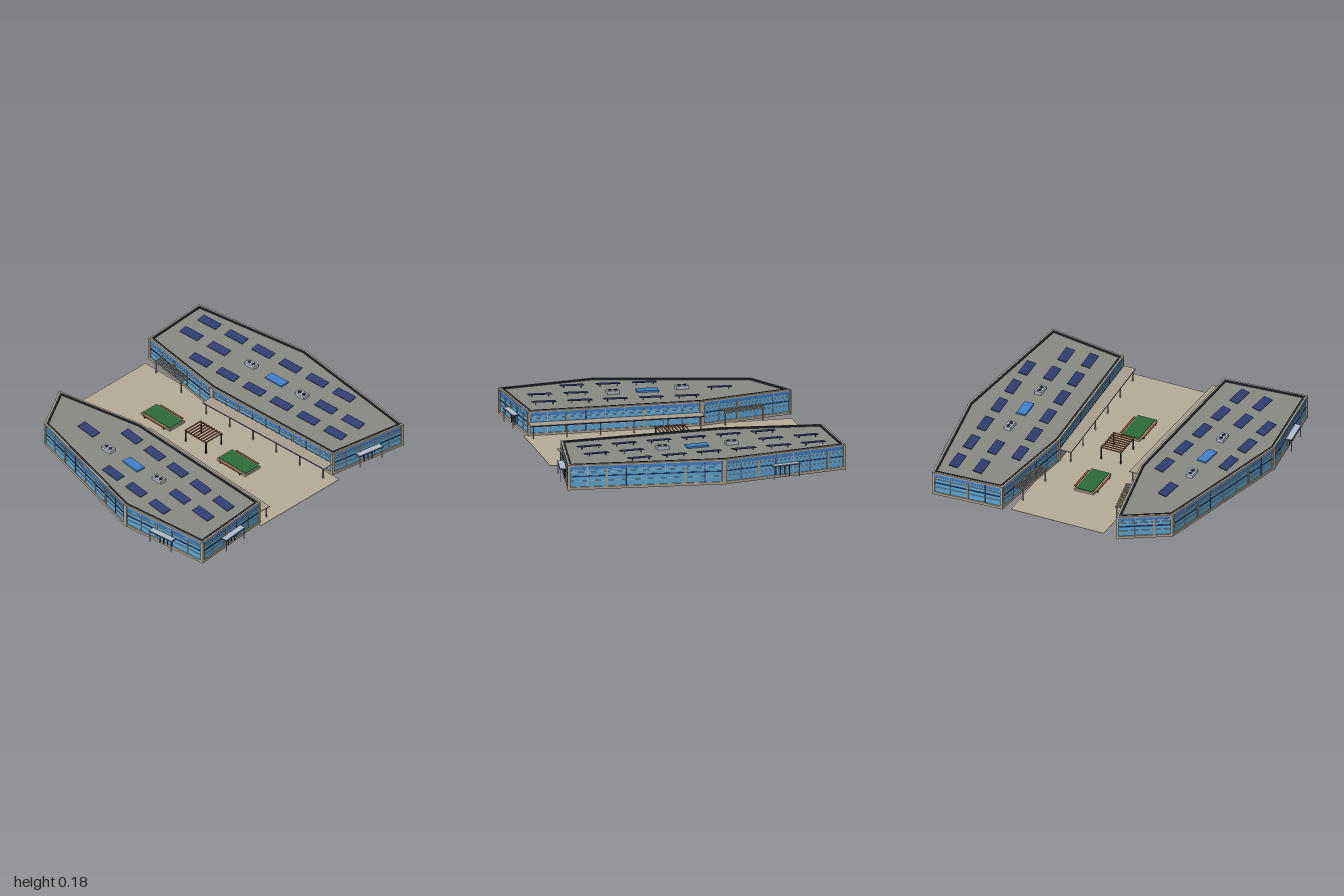
import * as THREE from 'three';

const mat = (name, color) => Object.assign(new THREE.MeshStandardMaterial({ color }), { name });
const M = {
  stone: mat('concrete', 0xa89e8c), paving: mat('paving', 0xb3a996), roof: mat('roof grey', 0x878882),
  glass: mat('glass', 0x5fa6d2), band: mat('blue glazing', 0x4180c8), navy: mat('solar navy', 0x2f3d70),
  dark: mat('dark trim', 0x262a33), metal: mat('light metal', 0xb0b9c8), green: mat('planting', 0x2c6a38),
  wood: mat('timber', 0x96522f),
};

// Corners run so that each wall's outside is its local +z
const BACK = [[-0.89, -0.385], [-0.24, -0.295], [0.8, -0.34], [0.89, -0.88], [-0.1, -0.995], [-0.92, -0.86]];
const FRONT = [[-0.89, 0.41], [-0.71, 0.72], [0.26, 0.968], [0.888, 0.902], [0.838, 0.34], [-0.28, 0.29]];

function add(parent, name, geometry, material) {
  const mesh = new THREE.Mesh(geometry, material);
  mesh.name = name;
  parent.add(mesh);
  return mesh;
}
// Box given by size, x and z of its centre, and its base height
function box(parent, name, material, w, h, d, x, y, z) {
  const mesh = add(parent, name, new THREE.BoxGeometry(w, h, d), material);
  mesh.position.set(x, y + h / 2, z);
  return mesh;
}
function group(parent, name, x = 0, y = 0, z = 0, turn = 0) {
  const g = new THREE.Group();
  g.name = name;
  g.position.set(x, y, z);
  g.rotation.y = turn;
  parent.add(g);
  return g;
}
// Move every side of a footprint inwards by d
function inset(points, d) {
  const n = points.length;
  const normal = i => {
    const [a, b] = [points[i % n], points[(i + 1) % n]];
    return new THREE.Vector2(b[1] - a[1], a[0] - b[0]).normalize();
  };
  return points.map((p, i) => {
    const n1 = normal(i + n - 1), n2 = normal(i);
    const k = d / (1 + n1.dot(n2));
    return [p[0] + (n1.x + n2.x) * k, p[1] + (n1.y + n2.y) * k];
  });
}
// Upright prism over a footprint, with an optional hole
function prism(points, y, h, hole) {
  const vec = list => list.map(p => new THREE.Vector2(p[0], -p[1]));
  const shape = new THREE.Shape(vec(points));
  if (hole) shape.holes.push(new THREE.Path(vec(hole)));
  return new THREE.ExtrudeGeometry(shape, { depth: h, bevelEnabled: false }).rotateX(-Math.PI / 2).translate(0, y, 0);
}

// Glazed wall: ledges, posts and mullions in the wall's own frame
function dressWall(wall, length) {
  box(wall, 'glazingBand', M.band, length, 0.024, 0.004, length / 2, 0.13, -0.006);
  box(wall, 'floorLine', M.navy, length, 0.006, 0.006, length / 2, 0.083, -0.005);
  for (const y of [0.055, 0.112, 0.128]) box(wall, 'transom', M.metal, length, 0.002, 0.005, length / 2, y, -0.005);
  const count = Math.max(2, Math.round(length / 0.12));
  for (let i = 1; i < count; i++) {
    const x = length * i / count;
    if (i % 4 === 2) box(wall, 'wallPost', M.stone, 0.012, 0.115, 0.006, x, 0.018, -0.004);
    else box(wall, 'mullion', i % 4 === 3 ? M.navy : M.metal, 0.004, 0.135, 0.005, x, 0.018, -0.005);
  }
}

// Small glass porch with double doors
function entrance(wall, x) {
  box(wall, 'porchRim', M.navy, 0.185, 0.005, 0.042, x, 0.082, 0.016);
  box(wall, 'porchRoof', M.metal, 0.181, 0.003, 0.038, x, 0.087, 0.016);
  for (const s of [-1, 0, 1]) box(wall, 'doorFrame', M.dark, 0.004, 0.08, 0.007, x + s * 0.03, 0.003, 0);
  box(wall, 'doorHead', M.dark, 0.064, 0.004, 0.007, x, 0.078, 0);
  for (const s of [-1, 1]) box(wall, 'porchPost', M.metal, 0.004, 0.083, 0.004, x + s * 0.085, 0, 0.032);
}

// Covered walk along a whole wall
function coveredWalk(wall, length) {
  box(wall, 'walkRoof', M.stone, length, 0.006, 0.08, length / 2, 0.084, 0.04);
  box(wall, 'walkEdge', M.navy, length, 0.007, 0.002, length / 2, 0.083, 0.08);
  for (let i = 0; i < 6; i++)
    box(wall, 'walkPost', M.stone, 0.007, 0.084, 0.007, 0.02 + (length - 0.04) * i / 5, 0, 0.068);
}

// Slatted canopy
function trellis(wall, x) {
  for (const z of [0.006, 0.054]) box(wall, 'trellisRail', M.stone, 0.28, 0.007, 0.006, x, 0.085, z);
  for (let i = 0; i < 15; i++) box(wall, 'trellisSlat', M.stone, 0.007, 0.005, 0.066, x - 0.136 + i * 0.0194, 0.092, 0.03);
  for (const s of [-1, 1]) box(wall, 'trellisPost', M.stone, 0.007, 0.086, 0.007, x + s * 0.13, 0, 0.054);
}

function building(root, name, points, extras) {
  const b = group(root, name);
  add(b, 'plinth', prism(points, 0, 0.018), M.stone);
  add(b, 'glassWalls', prism(inset(points, 0.007), 0.018, 0.134), M.glass);
  add(b, 'roof', prism(inset(points, 0.01), 0.15, 0.006), M.roof);
  add(b, 'parapet', prism(points, 0.153, 0.011, inset(points, 0.012)), M.stone);
  add(b, 'coping', prism(inset(points, 0.012), 0.153, 0.013, inset(points, 0.024)), M.dark);
  points.forEach((a, i) => {
    const c = points[(i + 1) % points.length];
    const dx = c[0] - a[0], dz = c[1] - a[1], length = Math.hypot(dx, dz);
    const wall = group(b, 'wall', a[0], 0, a[1], Math.atan2(-dz, dx));
    dressWall(wall, length);
    // Corner pillars, one half on each wall
    for (const x of [0.007, length - 0.007]) box(wall, 'cornerPillar', M.stone, 0.016, 0.16, 0.014, x, 0, -0.005);
    if (extras.entrances.includes(i)) entrance(wall, length / 2);
    if (extras.walk === i) coveredWalk(wall, length);
    if (extras.trellis === i) trellis(wall, length * 0.43);
  });
  return b;
}

function solarPanel(parent, x, z, turn) {
  const g = group(parent, 'solarPanel', x, 0.157, z, turn);
  const slab = box(g, 'panel', M.navy, 0.15, 0.004, 0.06, 0, 0.009, 0);
  slab.rotation.x = 0.15;
  for (const s of [-1, 1]) box(g, 'panelLeg', M.dark, 0.004, 0.014, 0.004, s * 0.055, -0.003, -0.02);
}
function airUnit(parent, x, z, turn) {
  const g = group(parent, 'airUnit', x, 0.155, z, turn);
  box(g, 'casing', M.metal, 0.08, 0.023, 0.046, 0, 0, 0);
  for (const s of [-1, 1])
    add(g, 'fan', new THREE.CylinderGeometry(0.013, 0.013, 0.003, 16), M.dark).position.set(s * 0.018, 0.0245, 0);
}
function roofKit(b, panels, z, turn) {
  for (const [x0, z0, dx, dz, n] of panels)
    for (let i = 0; i < n; i++) solarPanel(b, x0 + dx * i, z0 + dz * i, turn);
  for (const s of [-1, 1]) airUnit(b, s * 0.225 - 0.008, z, 0);
  box(group(b, 'skylight', -0.008, 0.155, z, turn), 'skylightGlass', M.band, 0.14, 0.012, 0.064, 0, 0, 0);
}

// Raised bed with a bench along both long sides
function planter(root, x) {
  const g = group(root, 'planter', x, 0.003, 0);
  box(g, 'planterBox', M.stone, 0.255, 0.014, 0.135, 0, 0, 0);
  box(g, 'planting', M.green, 0.238, 0.006, 0.118, 0, 0.012, 0);
  for (const s of [-1, 1]) {
    box(g, 'bench', M.wood, 0.2, 0.004, 0.012, 0, 0.012, s * 0.075);
    for (const e of [-1, 1]) box(g, 'benchLeg', M.dark, 0.006, 0.012, 0.01, e * 0.085, 0, s * 0.075);
  }
}
function pergola(root) {
  const g = group(root, 'pergola', -0.012, 0, 0);
  for (const s of [-1, 1]) {
    box(g, 'pergolaBeam', M.wood, 0.2, 0.006, 0.006, 0, 0.081, s * 0.068);
    for (const e of [-1, 1]) box(g, 'pergolaPost', M.dark, 0.007, 0.082, 0.007, e * 0.09, 0, s * 0.068);
  }
  for (let i = 0; i < 9; i++) box(g, 'pergolaSlat', M.wood, 0.007, 0.005, 0.148, -0.092 + i * 0.023, 0.087, 0);
}

export function createModel() {
  const root = new THREE.Group();
  root.name = 'courtyardCampus';
  // Courtyard paving
  add(root, 'plaza', prism([[-0.87, -0.335], [-0.87, 0.312], [0.865, 0.36], [0.865, -0.335]], 0, 0.003), M.paving);
  const back = building(root, 'backBuilding', BACK, { entrances: [2, 4], walk: 1, trellis: 0 });
  roofKit(back, [[-0.735, -0.77, 0.229, -0.012, 6], [-0.73, -0.605, 0.235, -0.011, 2],
    [0.42, -0.66, 0.23, -0.011, 2], [-0.49, -0.45, 0.229, -0.0115, 6]], -0.645, 0.05);
  const front = building(root, 'frontBuilding', FRONT, { entrances: [2, 3], walk: 4, trellis: 5 });
  roofKit(front, [[-0.22, 0.43, 0.2275, 0.0225, 5], [-0.465, 0.57, 0, 0, 1],
    [0.445, 0.663, 0.23, 0.022, 2], [-0.03, 0.785, 0.23, 0.022, 3]], 0.625, -0.1);
  for (const x of [-0.375, 0.302]) planter(root, x);
  pergola(root);
  return root;
}
